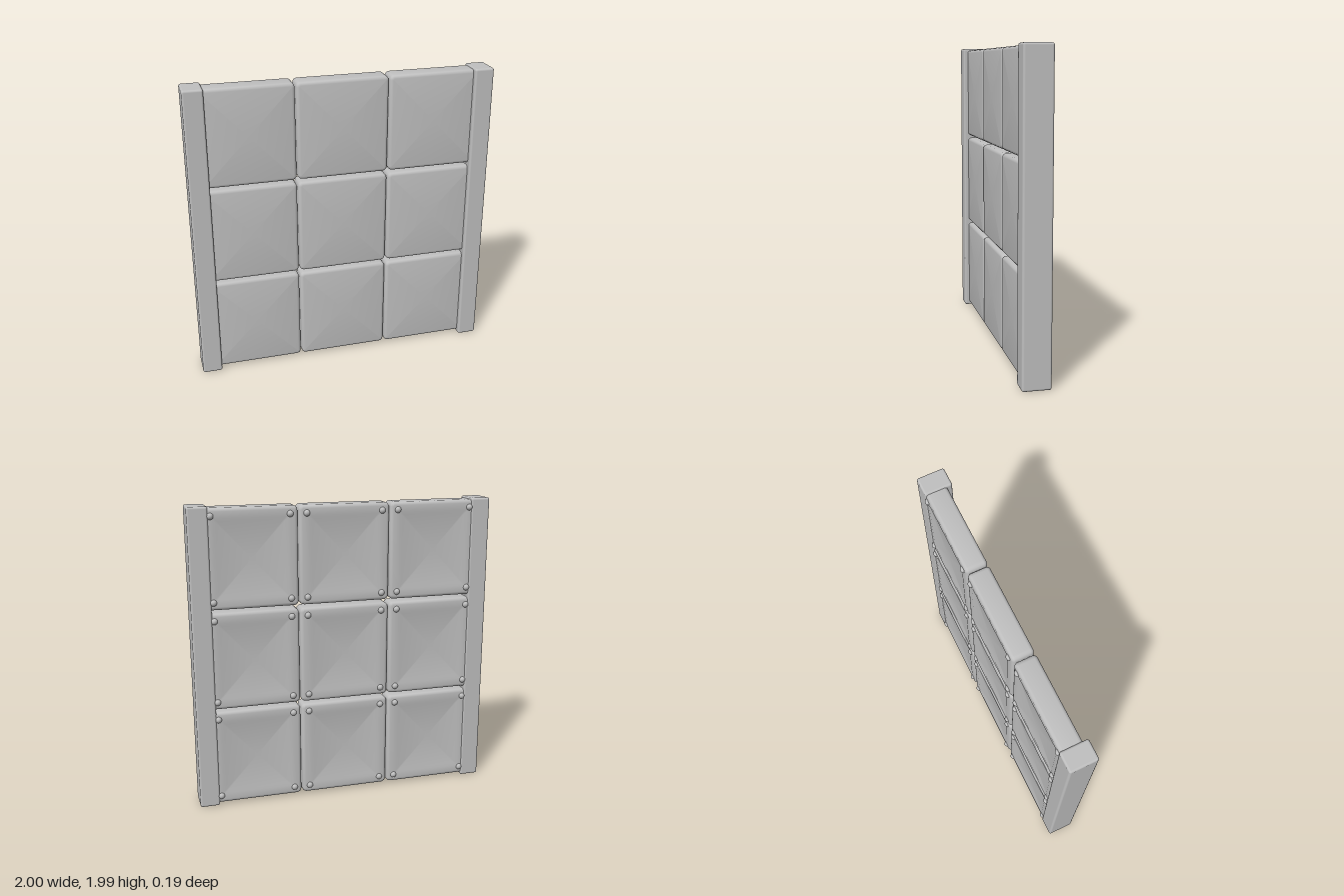
import * as THREE from 'three';
import { toCreasedNormals } from 'three/addons/utils/BufferGeometryUtils.js';
import { RoundedBoxGeometry } from 'three/addons/geometries/RoundedBoxGeometry.js';

const PANEL_W = 0.6, PANEL_H = 0.64;
const PANEL_FRONT = 0.062, PANEL_BACK = -0.078;
const BOLT_INSET = 0.05;

// One rounded-rectangle outline, pulled inwards by inset
function outline(inset, z) {
  const hw = PANEL_W / 2 - inset, hh = PANEL_H / 2 - inset;
  const r = Math.max(0.03 - inset, 0.006), steps = 4, points = [];
  [[1, 1], [-1, 1], [-1, -1], [1, -1]].forEach(([sx, sy], corner) => {
    for (let i = 0; i <= steps; i++) {
      const a = (corner + i / steps) * Math.PI / 2;
      points.push([sx * (hw - r) + r * Math.cos(a), sy * (hh - r) + r * Math.sin(a), z]);
    }
  });
  return points;
}

// Cushioned slab lofted from front to back, with a shallow recess behind
function panelGeometry() {
  const bevel = 0.022, profile = [];
  for (let i = 0; i <= 4; i++) {
    const a = i / 4 * Math.PI / 2;
    profile.push([bevel * (1 - Math.sin(a)), PANEL_FRONT - bevel * (1 - Math.cos(a))]);
  }
  for (let i = 0; i <= 4; i++) {
    const a = i / 4 * Math.PI / 2;
    profile.push([bevel * (1 - Math.cos(a)), PANEL_BACK + bevel * (1 - Math.sin(a))]);
  }
  profile.push([0.065, PANEL_BACK], [0.085, PANEL_BACK + 0.005]);

  const rings = profile.map(([inset, z]) => outline(inset, z));
  const n = rings[0].length, last = rings.length - 1;
  const positions = rings.flat(2), index = [];
  positions.push(0, 0, PANEL_FRONT, 0, 0, PANEL_BACK + 0.005);
  const front = rings.length * n, back = front + 1;
  for (let j = 0; j < n; j++) {
    const k = (j + 1) % n;
    index.push(front, j, k, back, last * n + k, last * n + j);
    for (let i = 0; i < last; i++) {
      const a = i * n + j, b = i * n + k, c = a + n, d = b + n;
      index.push(a, c, b, b, c, d);
    }
  }
  const geometry = new THREE.BufferGeometry();
  geometry.setAttribute('position', new THREE.Float32BufferAttribute(positions, 3));
  geometry.setIndex(index);
  return toCreasedNormals(geometry, 0.6);
}

export function createModel() {
  const model = new THREE.Group();
  model.name = 'panelledWall';
  const grey = new THREE.MeshStandardMaterial({ color: 0xbfbfbf });
  grey.name = 'grey';

  const add = (parent, name, geometry, x, y, z) => {
    const mesh = new THREE.Mesh(geometry, grey);
    mesh.name = name;
    mesh.position.set(x, y, z);
    parent.add(mesh);
    return mesh;
  };

  // Upright posts at both ends
  const post = new RoundedBoxGeometry(0.13, 1.985, 0.18, 3, 0.014);
  add(model, 'leftPost', post, 0.935, 0.9925, 0.005);
  add(model, 'rightPost', post, -0.935, 0.9925, 0.005);

  // Three by three panels, each with four bolts on its back
  const panel = panelGeometry();
  const bolt = new THREE.SphereGeometry(0.022, 14, 10);
  for (let row = 0; row < 3; row++) {
    for (let col = 0; col < 3; col++) {
      const unit = new THREE.Group();
      unit.name = `panelRow${row + 1}Column${col + 1}`;
      unit.position.set((col - 1) * 0.607, 0.335 + row * 0.66, 0);
      add(unit, 'panel', panel, 0, 0, 0);
      for (const sx of [-1, 1]) for (const sy of [-1, 1]) {
        const x = sx * (PANEL_W / 2 - BOLT_INSET), y = sy * (PANEL_H / 2 - BOLT_INSET);
        add(unit, 'backBolt', bolt, x, y, -0.073);
      }
      model.add(unit);
    }
  }
  return model;
}
